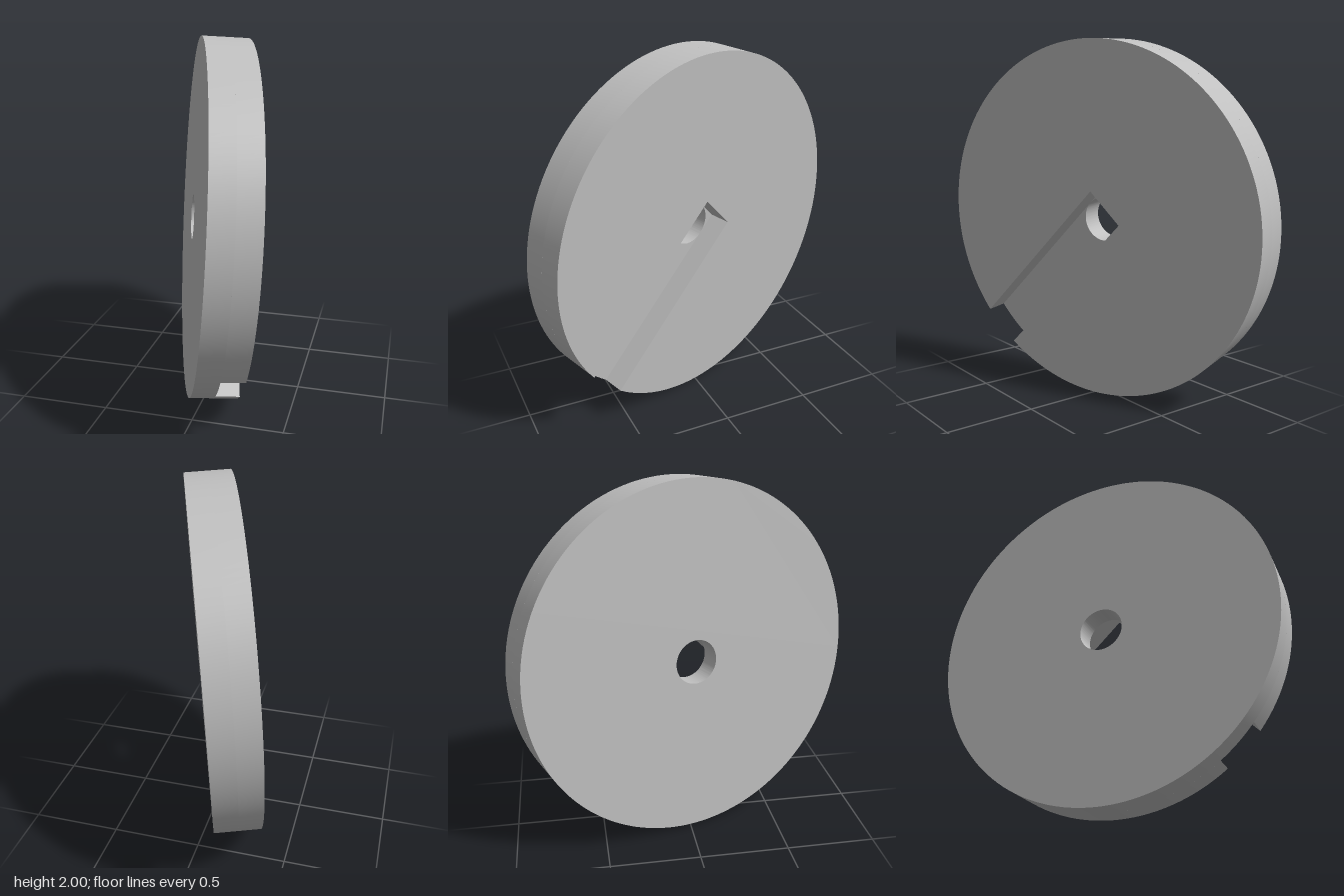
import * as THREE from 'three';
import { toCreasedNormals } from 'three/addons/utils/BufferGeometryUtils.js';

const RADIUS = 0.994;
const BORE = 0.125;      // bore radius, also half the slot width
const HALF = 0.127;      // half the disc thickness

export function createModel() {
  const model = new THREE.Group();
  model.name = 'slottedDisc';
  const grey = new THREE.MeshStandardMaterial({ color: 0xc0c0c0 });
  grey.name = 'grey';

  const addLayer = (name, shape, z) => {
    const geometry = new THREE.ExtrudeGeometry(shape, { depth: HALF, bevelEnabled: false, curveSegments: 72 });
    const mesh = new THREE.Mesh(toCreasedNormals(geometry, 0.5), grey);
    mesh.name = name;
    mesh.position.z = z;
    disc.add(mesh);
  };

  // Local z is the disc axis; local -x is the slot direction
  const disc = new THREE.Group();
  disc.name = 'disc';
  disc.rotation.z = Math.PI / 4;

  // Plain half with the round bore
  const plate = new THREE.Shape().absarc(0, 0, RADIUS, 0, Math.PI * 2, false);
  plate.holes.push(new THREE.Path().absarc(0, 0, BORE, 0, Math.PI * 2, true));
  addLayer('boredHalf', plate, -HALF);

  // Slotted half: open from the rim to just past the bore
  const end = Math.PI - Math.asin(BORE / RADIUS);
  const slotted = new THREE.Shape().absarc(0, 0, RADIUS, -end, end, false);
  slotted.lineTo(BORE, BORE);
  slotted.lineTo(BORE, -BORE);
  slotted.closePath();
  addLayer('slottedHalf', slotted, 0);

  // Stand the disc on its rim, turned and leaning slightly
  const axis = new THREE.Vector3(0.943, -0.059, -0.326).normalize();
  const side = new THREE.Vector3(0, 1, 0).cross(axis).normalize();
  const up = axis.clone().cross(side);
  const stand = new THREE.Group();
  stand.name = 'tiltedDisc';
  stand.quaternion.setFromRotationMatrix(new THREE.Matrix4().makeBasis(side, up, axis));
  stand.position.y = 1;
  stand.add(disc);
  model.add(stand);
  return model;
}
